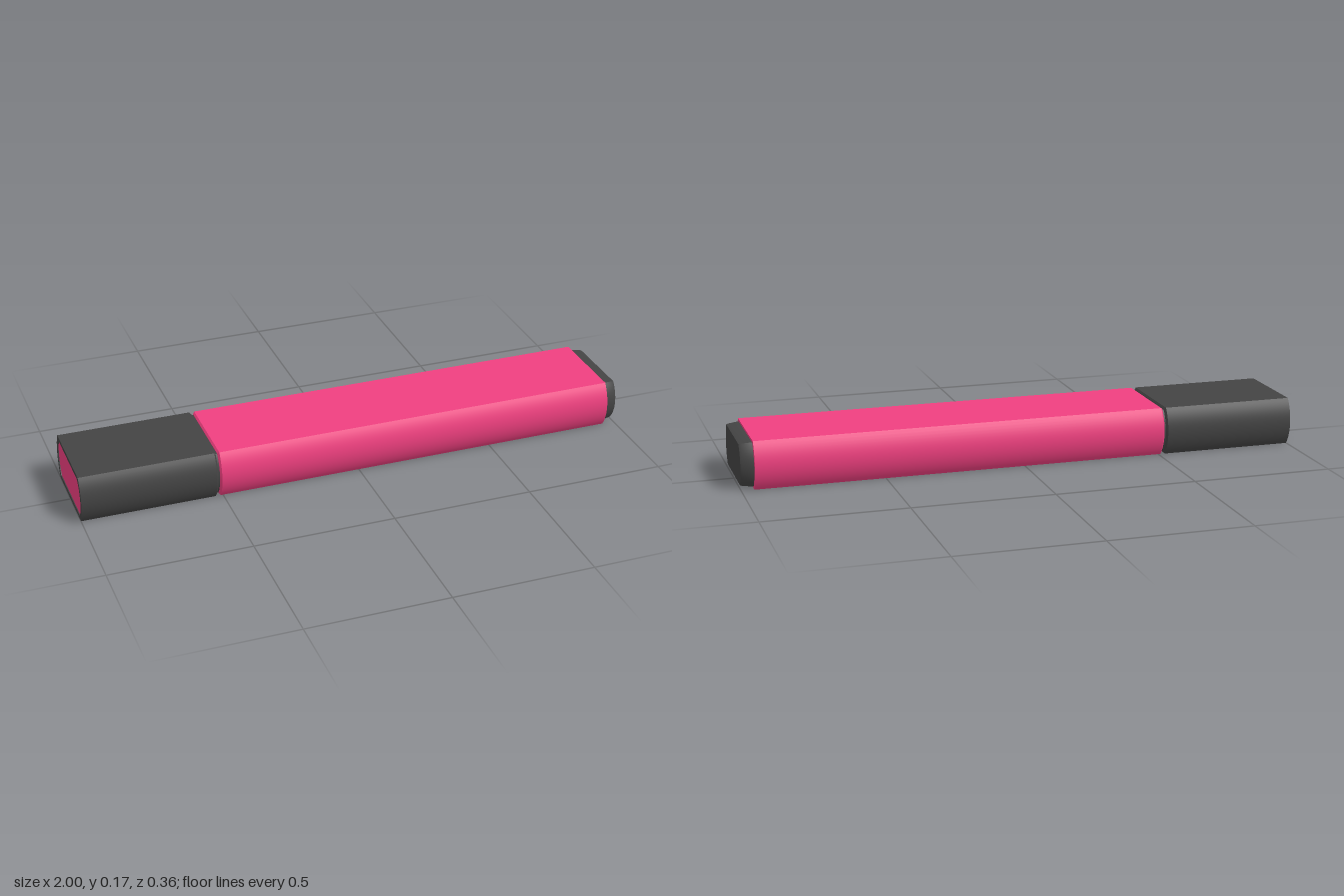
import * as THREE from 'three';
import { toCreasedNormals } from 'three/addons/utils/BufferGeometryUtils.js';

const MID = 0.085; // height of the pen's long axis
const ARC = 16;    // segments on each rounded side

// Flat top and bottom, bowed sides; counter-clockwise seen from +x.
function section([x, halfHeight, flat, wide]) {
  const bulge = wide - flat;
  const radius = (halfHeight ** 2 + bulge ** 2) / (2 * bulge);
  const sweep = Math.asin(halfHeight / radius);
  const points = [];
  for (const side of [-1, 1]) {
    for (let i = 0; i <= ARC; i++) {
      const a = sweep * (2 * i / ARC - 1);
      const z = wide - radius + radius * Math.cos(a);
      points.push(new THREE.Vector3(x, MID - side * radius * Math.sin(a), side * z));
    }
  }
  return points;
}

// Skin a row of sections [x, halfHeight, flatHalfWidth, fullHalfWidth], closed at both ends.
function loft(name, color, stations) {
  const rings = stations.map(section);
  const n = rings[0].length;
  const positions = [];
  const tri = (...corners) => corners.forEach((p) => positions.push(p.x, p.y, p.z));
  for (let s = 0; s < rings.length - 1; s++) {
    const a = rings[s], b = rings[s + 1];
    for (let i = 0; i < n; i++) {
      const j = (i + 1) % n;
      tri(a[i], a[j], b[j]);
      tri(a[i], b[j], b[i]);
    }
  }
  const first = rings[0], last = rings[rings.length - 1];
  const c0 = new THREE.Vector3(first[0].x, MID, 0);
  const c1 = new THREE.Vector3(last[0].x, MID, 0);
  for (let i = 0; i < n; i++) {
    const j = (i + 1) % n;
    tri(c0, first[j], first[i]);
    tri(c1, last[i], last[j]);
  }
  const geometry = new THREE.BufferGeometry();
  geometry.setAttribute('position', new THREE.Float32BufferAttribute(positions, 3));
  const mesh = new THREE.Mesh(toCreasedNormals(geometry, 0.5), new THREE.MeshStandardMaterial({ color }));
  mesh.name = name;
  return mesh;
}

export function createModel() {
  const pink = 0xf04080, dark = 0x444444;
  const pen = new THREE.Group();
  pen.name = 'highlighterPen';
  pen.add(
    // long barrel with a small bevel where it meets the cap
    loft('barrel', pink, [
      [-0.514, 0.079, 0.147, 0.175],
      [-0.508, 0.085, 0.153, 0.181],
      [0.955, 0.085, 0.153, 0.181],
    ]),
    // cap, its closed end slightly hollowed for the insert
    loft('cap', dark, [
      [-0.985, 0.071, 0.139, 0.166],
      [-1, 0.071, 0.139, 0.166],
      [-1, 0.085, 0.153, 0.181],
      [-0.526, 0.085, 0.153, 0.181],
      [-0.52, 0.079, 0.147, 0.175],
    ]),
    loft('capInsert', pink, [
      [-0.997, 0.071, 0.139, 0.166],
      [-0.98, 0.071, 0.139, 0.166],
    ]),
    // neck seen in the gap between cap and barrel
    loft('neck', dark, [
      [-0.54, 0.077, 0.145, 0.173],
      [-0.49, 0.077, 0.145, 0.173],
    ]),
    // tapered plug closing the back end
    loft('endPlug', dark, [
      [0.94, 0.077, 0.139, 0.166],
      [0.962, 0.077, 0.139, 0.166],
      [0.994, 0.074, 0.133, 0.159],
      [1, 0.072, 0.13, 0.156],
    ]),
  );
  return pen;
}
